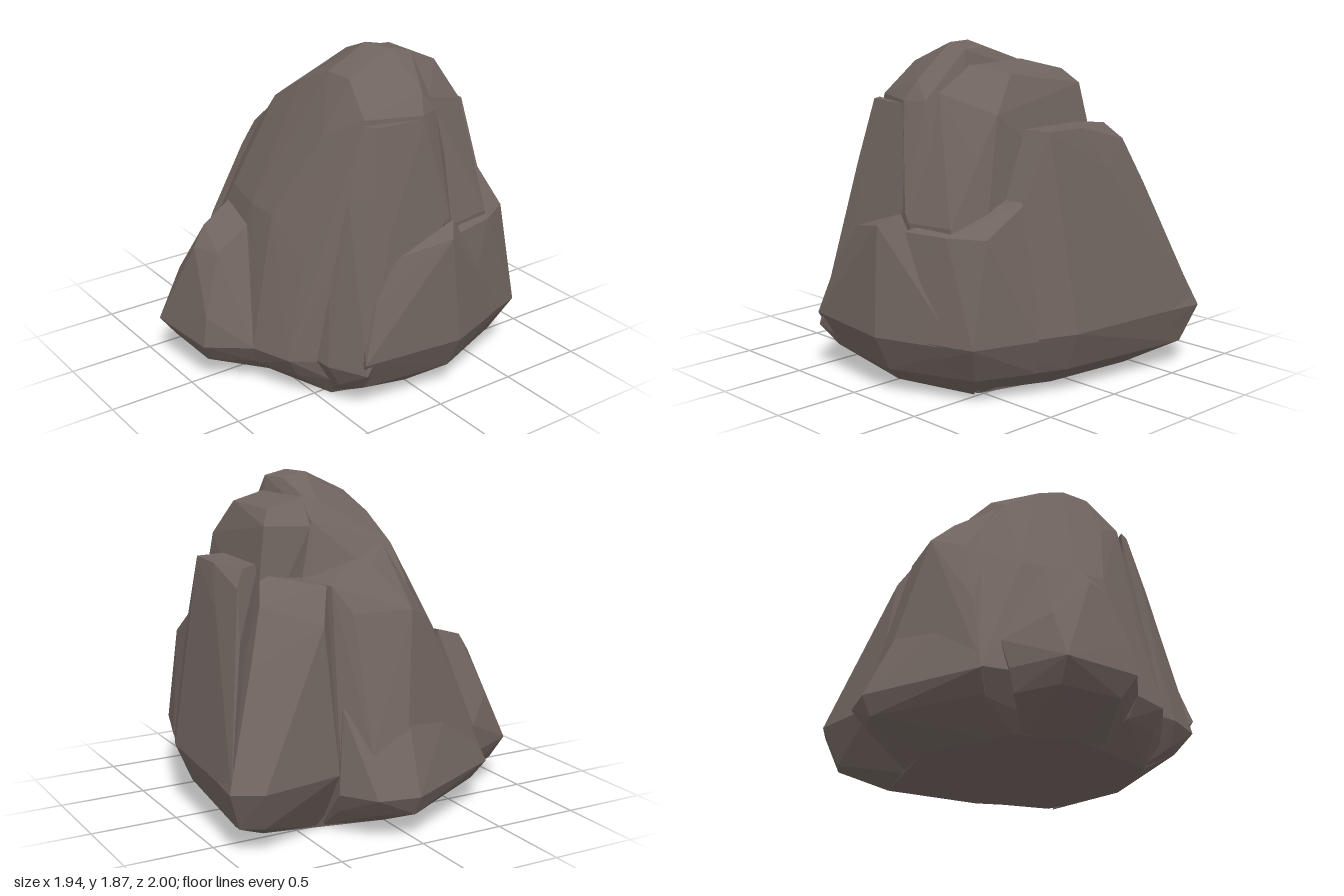
import * as THREE from 'three';
import { ConvexGeometry } from 'three/addons/geometries/ConvexGeometry.js';

export function createModel() {
  const rock = new THREE.Group();
  rock.name = 'boulder';
  const stone = new THREE.MeshStandardMaterial({ color: 0x70645f });
  stone.name = 'brownGreyStone';

  // One faceted chunk of stone. Each level is [height, x, z, x, z, ...].
  function chunk(name, ...levels) {
    const points = [];
    for (const [y, ...xz] of levels) {
      for (let i = 0; i < xz.length; i += 2) points.push(new THREE.Vector3(xz[i], y, xz[i + 1]));
    }
    const mesh = new THREE.Mesh(new ConvexGeometry(points), stone);
    mesh.name = name;
    rock.add(mesh);
  }

  // Tall leaning mass with the rounded peak
  chunk('mainMass',
    [0, -0.6, 0, -0.35, 0.5, 0, 0.6, 0.55, 0.42, 0.68, 0, 0.52, -0.48, 0.1, -0.6, -0.45, -0.68],
    [0.14, -0.58, 0.58, 0.24, 0.7, 0.48, 0.6, 0.62, 0.48],
    [0.26, -0.64, 0.65, -0.3, 0.72, 0.27, 0.75, 0.5, 0.67, 0.61, 0.53, 0.72, -0.5, -0.6, -0.35],
    [0.8, 0.59, 0.43, 0.45, 0.53],
    [1.0, -0.3, 0.5, 0, 0.57, 0.2, 0.57, 0.79, -0.2],
    [1.15, -0.52, 0.26],
    [1.46, 0.36, 0.34],
    [1.5, -0.25, 0.24],
    [1.58, 0.57, 0.22, 0.69, -0.08, 0.64, -0.2],
    [1.65, -0.02, 0.22, -0.2, -0.24],
    [1.75, 0.2, 0.19, 0.38, 0.18, -0.1, -0.15],
    [1.69, 0.62, -0.12],
    [1.87, 0.2, -0.06, 0.37, -0.1],
    [1.78, 0.02, -0.2],
    [1.84, 0.22, -0.2, 0.38, -0.23]);

  // Lower step behind the peak
  chunk('rearCrown',
    [0.3, -0.3, -0.7, 0.7, -0.65],
    [0.95, 0.79, -0.22, 0.74, -0.5, -0.3, -0.65],
    [1.3, 0.57, -0.51, 0.66, -0.22],
    [1.52, -0.21, -0.55, 0.44, -0.54],
    [1.62, -0.21, -0.25, 0.56, -0.22],
    [1.64, -0.2, -0.53],
    [1.72, -0.12, -0.47, 0.28, -0.48],
    [1.76, -0.05, -0.22, 0.38, -0.22]);

  // Flared foot under the right-hand shoulder
  chunk('rightFoot',
    [0, -0.6, 0, -0.4, 0.4, -0.5, -0.35],
    [0.14, -0.92, 0, -0.82, 0.12, -0.58, 0.6, -0.84, -0.2, -0.68, -0.33],
    [0.25, -0.97, 0, -0.92, -0.23, -0.73, -0.36, -0.85, 0.13, -0.64, 0.66],
    [0.48, -0.84, 0],
    [0.7, -0.76, 0.04, -0.66, -0.3, -0.58, 0.46]);

  // Sloping shoulder on the right-hand side
  chunk('rightShoulder',
    [0.3, -0.72, -0.34, -0.63, 0.63, -0.3, -0.4],
    [0.48, -0.84, 0, -0.81, -0.2],
    [0.72, -0.77, 0.04, -0.59, 0.48],
    [1.13, -0.53, 0.3],
    [1.2, -0.66, 0.13, -0.6, -0.2],
    [1.34, -0.25, -0.34, -0.5, -0.28],
    [1.42, -0.44, 0],
    [1.5, -0.26, 0.18, -0.18, 0.1]);

  // Buttress at the back corner
  chunk('rearButtress',
    [0, -0.45, -0.68, -0.1, -0.62, -0.5, -0.35],
    [0.14, -0.66, -0.92, -0.72, -0.8, -0.3, -0.88],
    [0.36, -0.72, -1, -0.81, -0.84, -0.73, -0.36, -0.35, -0.95],
    [0.66, -0.63, -0.83, -0.69, -0.72],
    [0.95, -0.53, -0.78],
    [1.15, -0.6, -0.38],
    [1.25, -0.4, -0.66],
    [1.34, -0.48, -0.3, -0.2, -0.3],
    [1.38, -0.2, -0.56]);

  // Broad slab across the back with an arched top
  chunk('rearSlab',
    [0, -0.45, -0.68, 0.1, -0.62, 0.5, -0.45],
    [0.14, -0.62, -0.92, 0.18, -0.82, 0.66, -0.62],
    [0.36, -0.72, -0.99, 0.2, -0.91, 0.76, -0.69],
    [0.72, -0.4, -0.86, 0.2, -0.84],
    [1.08, 0.38, -0.52, 0.38, -0.73, -0.45, -0.8],
    [1.2, -0.15, -0.8],
    [1.34, -0.32, -0.75],
    [1.43, -0.24, -0.68, 0, -0.74, 0.24, -0.73, 0.26, -0.52, -0.15, -0.54]);

  // Low stepped block at the back left corner
  chunk('rearLeftBlock',
    [0, 0.5, -0.48, 0.65, -0.1],
    [0.14, 0.35, -0.76, 0.68, -0.62, 0.84, -0.2],
    [0.35, 0.42, -0.83, 0.78, -0.71, 0.94, -0.2],
    [0.91, 0.66, -0.69, 0.77, -0.5, 0.83, -0.24],
    [1.1, 0.36, -0.5, 0.36, -0.72]);

  // Thick slab leaning on the left side
  chunk('leftSlab',
    [0, 0.55, 0.4, 0.68, 0, 0.55, -0.48],
    [0.14, 0.87, -0.15, 0.8, 0.38, 0.68, -0.62],
    [0.34, 0.97, -0.15, 0.9, 0.44, 0.8, -0.62],
    [0.66, 0.7, 0.35, 0.84, 0.33, 0.93, -0.16],
    [0.88, 0.83, 0.16],
    [0.94, 0.92, -0.12],
    [1.0, 0.82, -0.2]);

  // Tall pillar forming the front left edge
  chunk('frontLeftPillar',
    [0, 0.52, 0.42, 0.6, 0.1],
    [0.14, 0.6, 0.47, 0.7, 0.47, 0.8, 0.38],
    [0.27, 0.6, 0.55, 0.69, 0.54, 0.9, 0.43],
    [0.66, 0.62, 0.48, 0.78, 0.36],
    [1.0, 0.79, -0.18, 0.78, 0.2],
    [1.2, 0.62, 0.36, 0.73, 0.27],
    [1.56, 0.59, 0.24, 0.66, 0.2, 0.69, -0.1]);

  // Pointed outcrop at the front
  chunk('frontOutcrop',
    [0, -0.3, 0.5, 0, 0.61, 0.2, 0.5],
    [0.14, -0.33, 0.91, 0.04, 0.91, -0.46, 0.68, 0.22, 0.7],
    [0.26, -0.35, 1, 0.1, 0.97, 0.27, 0.75, -0.5, 0.7],
    [0.43, -0.52, 0.65, 0.09, 0.94],
    [0.55, -0.34, 0.86],
    [0.77, -0.12, 0.88, 0.03, 0.82],
    [0.88, -0.14, 0.8],
    [0.95, -0.22, 0.59],
    [0.9, 0.04, 0.63]);

  return rock;
}
